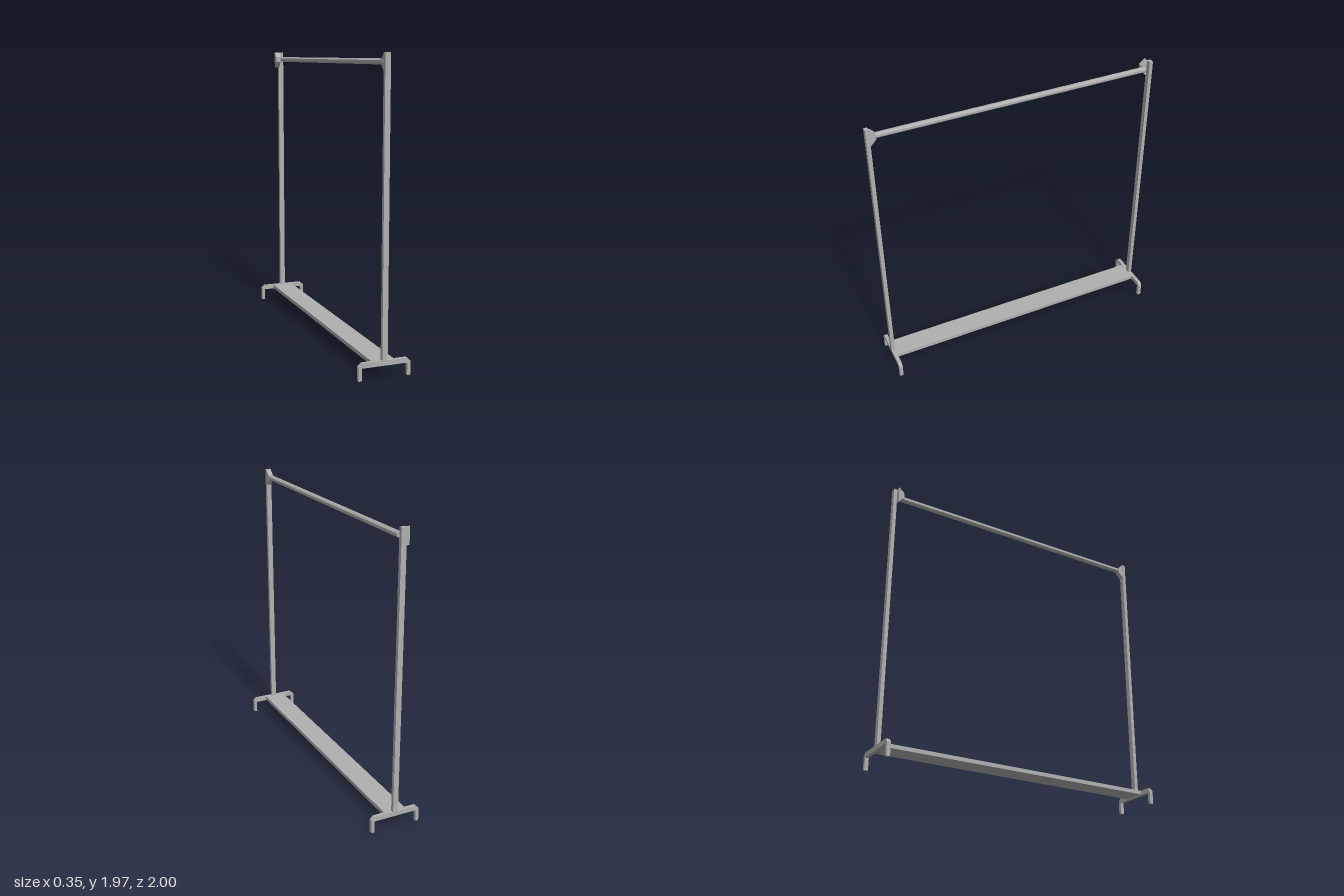
import * as THREE from 'three';

export function createModel() {
  const rack = new THREE.Group();
  rack.name = 'garmentRack';
  const metal = new THREE.MeshStandardMaterial({ color: 0xb0b0b0 });
  metal.name = 'greyMetal';

  const add = (name, geometry, x = 0, y = 0, z = 0, parent = rack) => {
    const mesh = new THREE.Mesh(geometry, metal);
    mesh.name = name;
    mesh.position.set(x, y, z);
    parent.add(mesh);
    return mesh;
  };
  const extrude = (points, depth) => new THREE.ExtrudeGeometry(
    new THREE.Shape(points.map(([x, y]) => new THREE.Vector2(x, y))),
    { depth, bevelEnabled: false });

  // Foot outline: a bar with two legs and chamfered bends
  const half = [[0.15, 0.08], [0.152, 0.078], [0.152, 0], [0.174, 0], [0.174, 0.09], [0.152, 0.112]];
  const footOutline = [...half, ...half.map(([x, y]) => [-x, y]).reverse()];
  const footGeometry = extrude(footOutline, 0.025);

  // Corner bracket outline, drawn as (distance inward, height)
  const bracketOutline = [[0, 1.855], [0.04, 1.897], [0.04, 1.935], [0, 1.969]];
  const bracketGeometry = extrude(bracketOutline, 0.036);

  // Each end: foot, post and bracket; the back end mirrors the front
  for (const side of [1, -1]) {
    const end = side > 0 ? 'front' : 'back';
    add(end + 'Foot', footGeometry, 0, 0, side > 0 ? 0.975 : -1);
    add(end + 'Post', new THREE.BoxGeometry(0.036, 1.87, 0.025), 0, 1.035, side * 0.9875);
    const bracket = add(end + 'Bracket', bracketGeometry, side > 0 ? 0.021 : -0.015, 0, side * 0.977);
    bracket.rotation.y = side * Math.PI / 2;
    if (side > 0) bracket.position.x = -0.015;
  }

  // Hanging rail with eight flat sides
  const rail = new THREE.CylinderGeometry(0.0195, 0.0195, 1.9, 8).toNonIndexed();
  rail.rotateY(Math.PI / 8).rotateX(Math.PI / 2);
  rail.computeVertexNormals();
  add('hangingRail', rail, 0.001, 1.916, 0);

  // Bottom shelf
  add('shelf', new THREE.BoxGeometry(0.15, 0.026, 1.95), -0.005, 0.098, 0);
  return rack;
}
